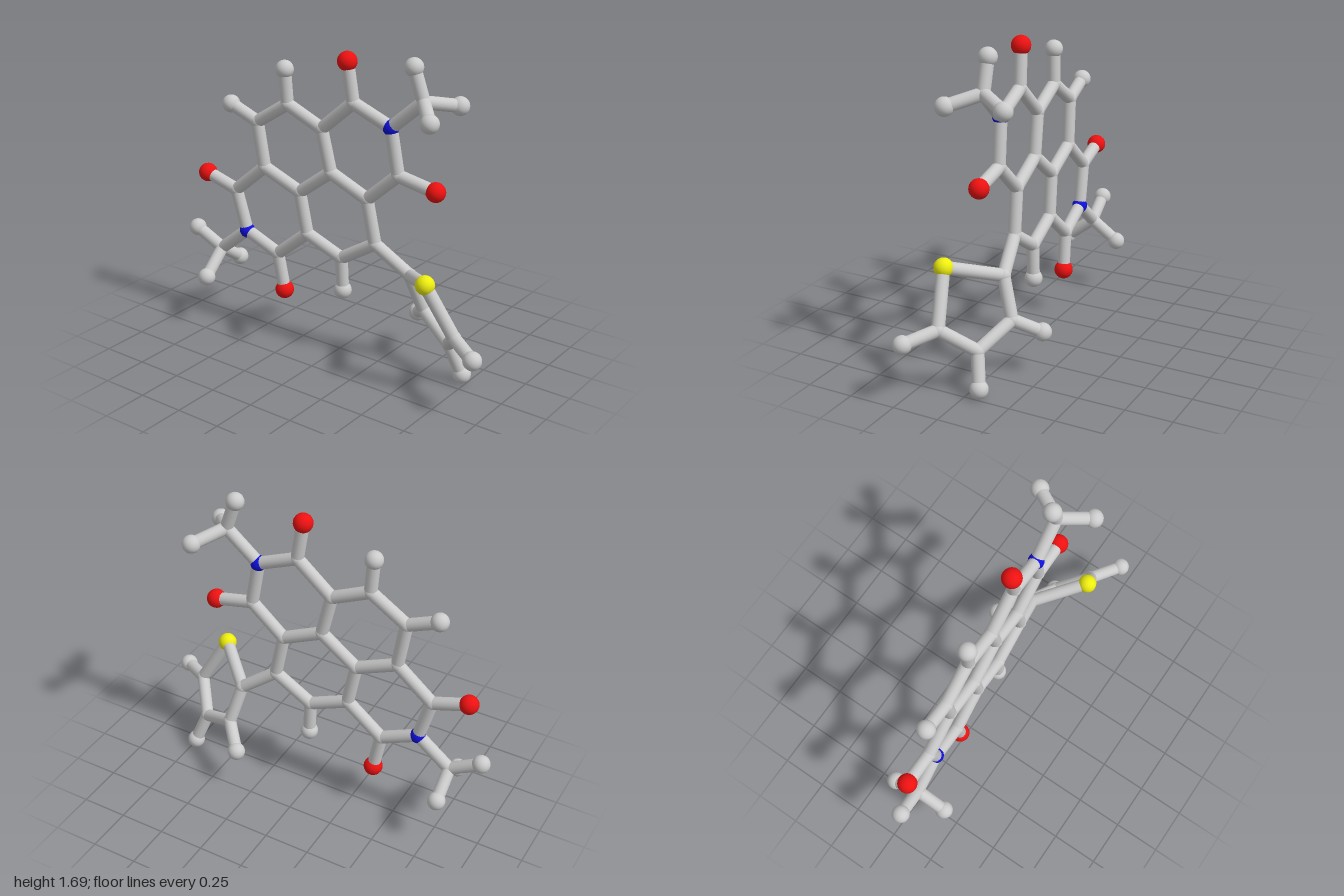
import * as THREE from 'three';

const BOND_RADIUS = 0.034;

// Element styles: sphere radius and colour
const STYLES = {
  C: { name: 'carbon', radius: 0.037, color: 0xcccccc },
  H: { name: 'hydrogen', radius: 0.048, color: 0xcccccc },
  N: { name: 'nitrogen', radius: 0.042, color: 0x1010dd },
  O: { name: 'oxygen', radius: 0.051, color: 0xee1111 },
  S: { name: 'sulfur', radius: 0.05, color: 0xeeee11 },
};

// The fused rings lie on one slightly tilted plane
const plane = (x, y) => -0.01 - 0.045 * x + 0.033 * y;

// Atoms: element, x, y and z (z left out for atoms on the plane)
const ATOMS = {
  // fused ring core
  a: ['C', 0.105, 1.415], b: ['C', -0.09, 1.245], c: ['C', -0.30, 1.34],
  d: ['C', -0.50, 1.21], e: ['C', -0.465, 0.96], f: ['C', -0.24, 0.865],
  g: ['C', -0.04, 1.015], h: ['C', 0.18, 0.915], i: ['C', 0.365, 1.08],
  j: ['C', 0.225, 0.675], k: ['C', 0.015, 0.545], l: ['C', -0.20, 0.635],
  m: ['C', -0.40, 0.47], n: ['C', -0.665, 0.79],
  n1: ['N', 0.325, 1.325], n2: ['N', -0.605, 0.56],
  // atoms on the rim
  oa: ['O', 0.075, 1.625], oi: ['O', 0.58, 1.037], om: ['O', -0.365, 0.262], on: ['O', -0.86, 0.85],
  hc: ['H', -0.31, 1.525], hd: ['H', -0.67, 1.28], hk: ['H', 0.02, 0.36],
  // upper methyl
  p: ['C', 0.505, 1.485, 0.01], p1: ['H', 0.45, 1.65, 0.015],
  p2: ['H', 0.63, 1.435, 0.15], p3: ['H', 0.61, 1.445, -0.155],
  // lower methyl
  q: ['C', -0.79, 0.41, 0.04], q1: ['H', -0.955, 0.50, 0.055],
  q2: ['H', -0.775, 0.29, 0.195], q3: ['H', -0.793, 0.305, -0.11],
  // five-sided side ring
  t2: ['C', 0.415, 0.535, -0.04], s: ['S', 0.64, 0.62, 0.17], t5: ['C', 0.785, 0.355, 0.12],
  t4: ['C', 0.665, 0.225, -0.03], t3: ['C', 0.46, 0.325, -0.11],
  h3: ['H', 0.35, 0.238, -0.225], h4: ['H', 0.725, 0.053, -0.07], h5: ['H', 0.95, 0.325, 0.22],
};

// Each chain links its neighbouring atoms
const CHAINS = [
  'a b c d e f g h i n1 a', 'b g', 'h j k l f', 'l m n2 n e',
  'a oa', 'i oi', 'm om', 'n on', 'c hc', 'd hd', 'k hk',
  'n1 p p1', 'p2 p p3', 'n2 q q1', 'q2 q q3',
  'j t2 s t5 t4 t3 t2', 't3 h3', 't4 h4', 't5 h5',
];

export function createModel() {
  const group = new THREE.Group();
  group.name = 'molecule';
  const atoms = new THREE.Group();
  atoms.name = 'atoms';
  const bonds = new THREE.Group();
  bonds.name = 'bonds';
  group.add(atoms, bonds);

  for (const style of Object.values(STYLES)) {
    style.geometry = new THREE.SphereGeometry(style.radius, 20, 14);
    style.material = new THREE.MeshStandardMaterial({ color: style.color });
  }

  // Atom spheres
  const position = {};
  for (const [id, [element, x, y, z = plane(x, y)]] of Object.entries(ATOMS)) {
    const style = STYLES[element];
    const ball = new THREE.Mesh(style.geometry, style.material);
    ball.name = style.name;
    ball.position.set(x, y, z);
    position[id] = ball.position;
    atoms.add(ball);
  }

  // Bond sticks, a unit cylinder stretched between two atoms
  const stick = new THREE.CylinderGeometry(BOND_RADIUS, BOND_RADIUS, 1, 18, 1, true);
  const up = new THREE.Vector3(0, 1, 0);
  const addBond = (from, to) => {
    const span = to.clone().sub(from);
    const bond = new THREE.Mesh(stick, STYLES.C.material);
    bond.name = 'bond';
    bond.position.copy(from).addScaledVector(span, 0.5);
    bond.scale.y = span.length();
    bond.quaternion.setFromUnitVectors(up, span.normalize());
    bonds.add(bond);
  };
  for (const chain of CHAINS) {
    const ids = chain.split(' ');
    for (let n = 1; n < ids.length; n++) addBond(position[ids[n - 1]], position[ids[n]]);
  }

  return group;
}
